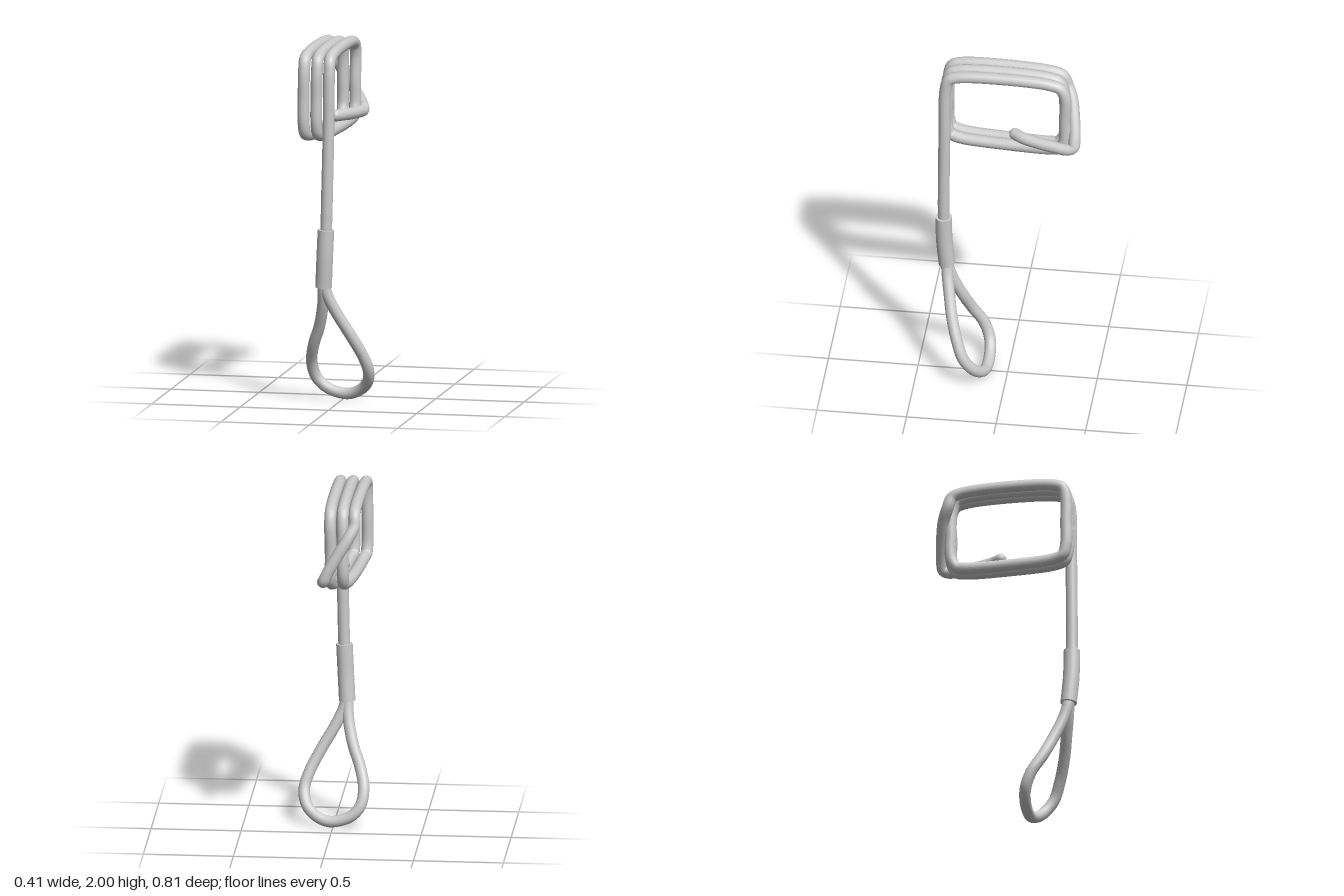
import * as THREE from 'three';

const material = new THREE.MeshStandardMaterial({ color: 0xcccccc });
const ROPE = 0.033;

function curveThrough(points) {
  return new THREE.CatmullRomCurve3(points.map((p) => new THREE.Vector3(...p)), false, 'centripetal');
}

function addMesh(group, name, geometry) {
  const mesh = new THREE.Mesh(geometry, material);
  mesh.name = name;
  group.add(mesh);
  return mesh;
}

// One pass of the coil: up the front, over the top, to the upper back corner
function overTop(xFront, xBack, zBack) {
  return [
    [xFront, 1.87, 0.35], [xFront, 1.935, 0.33], [xFront, 1.955, 0.28],
    [(xFront + xBack) / 2, 1.967, 0.02],
    [xBack, 1.952, zBack + 0.08], [xBack, 1.93, zBack + 0.025], [xBack, 1.87, zBack],
  ];
}

// Down the back and forward underneath, shifting across to the next pass
function underneath(xBack, xNext, zBack) {
  return [
    [xBack, 1.72, zBack - 0.004], [xBack, 1.58, zBack], [xBack, 1.53, zBack + 0.03],
    [xBack - 0.01, 1.515, zBack + 0.08],
    [(xBack + xNext) / 2, 1.503, 0.02],
    [xNext + 0.015, 1.51, 0.28], [xNext + 0.004, 1.525, 0.33], [xNext, 1.58, 0.35],
    [xNext, 1.72, 0.352],
  ];
}

export function createModel() {
  const group = new THREE.Group();

  // Standing rope, three wraps and the tucked tail
  const path = curveThrough([
    [-0.053, 0.8, 0.357], [-0.042, 1.0, 0.362], [-0.036, 1.25, 0.361], [-0.03, 1.55, 0.357],
    ...overTop(-0.028, -0.022, -0.318),
    ...underneath(-0.025, -0.1, -0.312),
    ...overTop(-0.097, -0.09, -0.302),
    ...underneath(-0.092, -0.172, -0.305),
    ...overTop(-0.17, -0.156, -0.315),
    // diagonal across the back, then forward inside the coil
    [-0.12, 1.8, -0.345], [-0.06, 1.7, -0.364], [-0.01, 1.61, -0.372],
    [0.01, 1.565, -0.367], [0.016, 1.552, -0.335], [0.005, 1.553, -0.27],
    [-0.022, 1.56, -0.15], [-0.045, 1.567, -0.075], [-0.075, 1.568, -0.032],
  ]);
  addMesh(group, 'coiledRope', new THREE.TubeGeometry(path, 700, ROPE, 16));
  const tip = addMesh(group, 'ropeTip', new THREE.SphereGeometry(ROPE, 16, 12));
  tip.position.copy(path.getPoint(1));

  // Hanging eye at the lower end
  const eye = curveThrough([
    [-0.055, 0.74, 0.35], [-0.062, 0.66, 0.343], [-0.07, 0.57, 0.317], [-0.1, 0.44, 0.265],
    [-0.145, 0.32, 0.215], [-0.168, 0.215, 0.155], [-0.15, 0.125, 0.12], [-0.09, 0.065, 0.11],
    [0.02, 0.036, 0.117], [0.1, 0.063, 0.142], [0.152, 0.115, 0.18], [0.168, 0.19, 0.228],
    [0.142, 0.28, 0.263], [0.08, 0.4, 0.3], [0.01, 0.52, 0.325],
    [-0.035, 0.61, 0.341], [-0.052, 0.67, 0.347], [-0.055, 0.74, 0.352],
  ]);
  addMesh(group, 'eyeLoop', new THREE.TubeGeometry(eye, 200, 0.032, 16));

  // Crimped sleeve with flat ends
  const sleeve = curveThrough([[-0.06, 0.67, 0.347], [-0.051, 0.83, 0.36], [-0.043, 0.993, 0.363]]);
  addMesh(group, 'sleeve', new THREE.TubeGeometry(sleeve, 24, 0.046, 24));
  for (const t of [0, 1]) {
    const cap = addMesh(group, 'sleeveEnd', new THREE.CircleGeometry(0.046, 24));
    const outward = sleeve.getTangent(t).multiplyScalar(t ? 1 : -1);
    cap.position.copy(sleeve.getPoint(t));
    cap.quaternion.setFromUnitVectors(new THREE.Vector3(0, 0, 1), outward);
  }

  return group;
}
